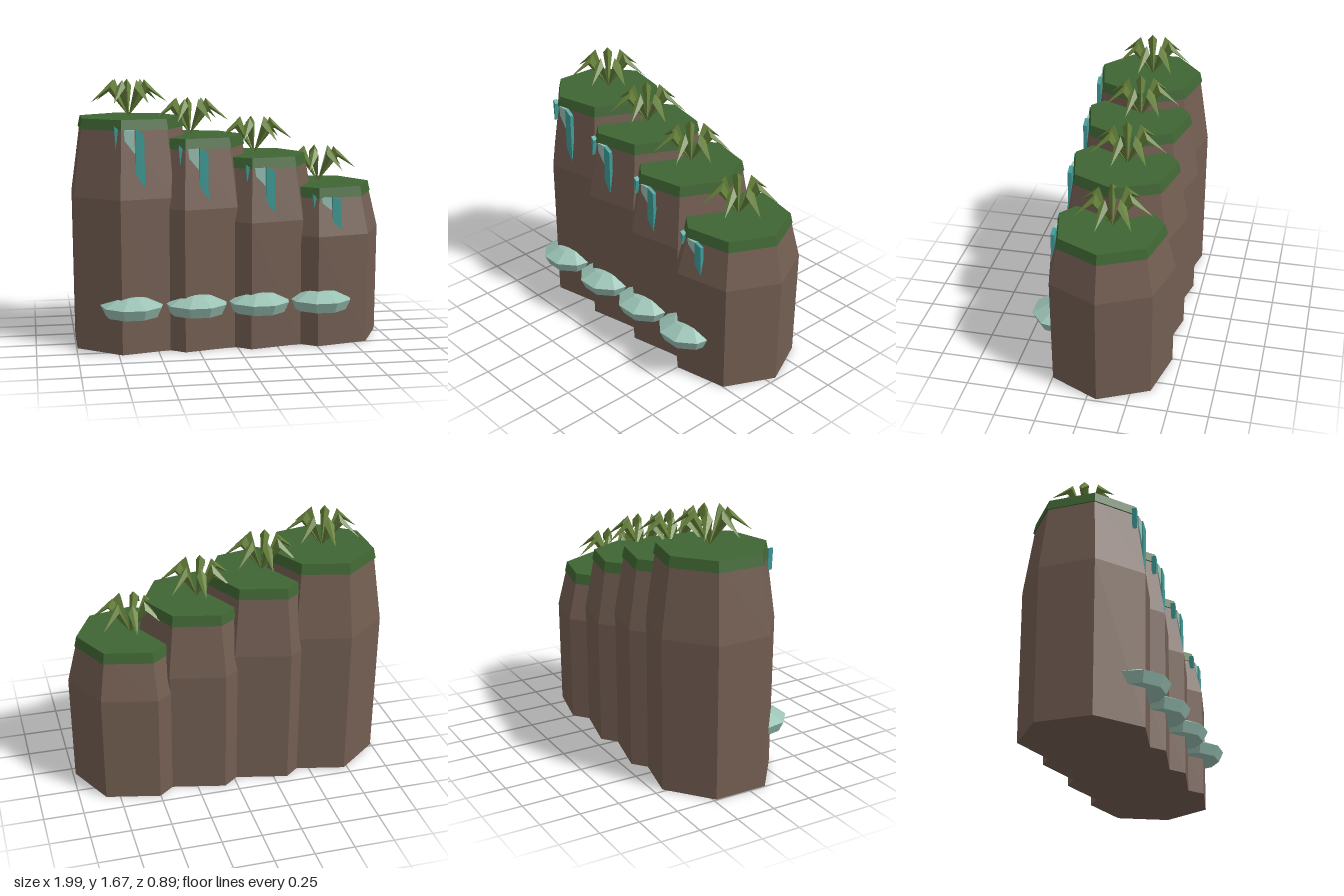
import * as THREE from 'three';

const mat = (name, color) => {
  const m = new THREE.MeshStandardMaterial({ color, flatShading: true });
  m.name = name;
  return m;
};

export function createModel() {
  const rock = mat('brown rock', 0x735e52);
  const turf = mat('dark green turf', 0x3f6533);
  const leaf = mat('leaf green', 0x66813a);
  const water = mat('teal water', 0x3f9c98);
  const foam = mat('pale foam', 0x9ac2b4);

  const add = (parent, name, geometry, material, x = 0, y = 0, z = 0) => {
    const mesh = new THREE.Mesh(geometry, material);
    mesh.name = name;
    mesh.position.set(x, y, z);
    parent.add(mesh);
    return mesh;
  };

  // Faceted solid turned from [radius, height] pairs, listed bottom to top
  const turned = (profile, sides, start) => new THREE.LatheGeometry(
    profile.map(([r, y]) => new THREE.Vector2(r, y)), sides, start);

  // Thin upright slab cut from an outline
  const slab = (points, depth) => new THREE.ExtrudeGeometry(
    new THREE.Shape(points.map(([x, y]) => new THREE.Vector2(x, y))),
    { depth, bevelEnabled: false });

  // Leaf blade: diamond section at the bend, pointed at root and tip
  const bladeGeometry = () => {
    const v = [0, 0, 0, 0.1, 0.23, 0, 0.125, 0.185, 0.03,
      0.13, 0.16, 0, 0.125, 0.185, -0.03, 0.245, 0.09, 0];
    const index = [];
    for (let i = 0; i < 4; i++) {
      const a = 1 + i, b = 1 + (i + 1) % 4;
      index.push(0, b, a, 5, a, b);
    }
    const g = new THREE.BufferGeometry();
    g.setAttribute('position', new THREE.Float32BufferAttribute(v, 3));
    g.setIndex(index);
    g.computeVertexNormals();
    return g;
  };
  const blade = bladeGeometry();

  const pool = turned([[0, 0.235], [0.17, 0.235], [0.2, 0.3], [0.1, 0.35], [0, 0.375]],
    9, Math.PI / 9);

  // x centre, top height, shoulder height, fall length scale, pool x
  const steps = [
    [-0.64, 1.44, 0.96, 1, -0.66],
    [-0.25, 1.32, 0.89, 0.89, -0.26],
    [0.165, 1.195, 0.8, 0.78, 0.135],
    [0.59, 1.0, 0.7, 0.58, 0.53],
  ];

  const model = new THREE.Group();
  model.name = 'steppedCliff';

  for (const [x, top, shoulder, k, poolX] of steps) {
    const step = new THREE.Group();
    step.name = 'cliffStep';
    step.position.set(x, 0, -0.06);
    model.add(step);

    // Seven-sided column with a tapered upper part
    add(step, 'rockColumn', turned([[0, 0], [0.394, 0], [0.4, shoulder],
      [0.333, top - 0.03], [0, top - 0.03]], 7, Math.PI / 2), rock);

    // Turf slab overhanging the column
    add(step, 'turfCap', turned([[0, top - 0.065], [0.348, top - 0.065],
      [0.333, top], [0, top]], 7, Math.PI / 2), turf);

    // Falling water below the lip: long stream, foam sheet and a small trickle
    const down = (d) => -0.055 - (d - 0.055) * k;
    add(step, 'waterfall', slab([[0.01, -0.055], [0.01, down(0.36)],
      [0.065, down(0.415)], [0.062, down(0.087)]], 0.024), water, 0, top, 0.322);
    add(step, 'foamSheet', slab([[-0.06, -0.06], [-0.055, down(0.125)],
      [0.005, down(0.205)], [0.005, -0.06]], 0.02), foam, 0, top, 0.32);
    add(step, 'waterTrickle', slab([[-0.118, -0.035], [-0.11, down(0.173)],
      [-0.095, -0.055]], 0.03), water, 0, top, 0.315);

    // Splash pool at the foot
    add(model, 'splashPool', pool, foam, poolX, 0, 0.25);

    // Seven drooping leaves around one root
    const plant = new THREE.Group();
    plant.name = 'leafTuft';
    plant.position.set(0, top, -0.02);
    step.add(plant);
    for (let i = 0; i < 7; i++) {
      add(plant, 'leafBlade', blade, leaf).rotation.y = Math.PI / 2 + i * Math.PI * 2 / 7;
    }
  }
  return model;
}
